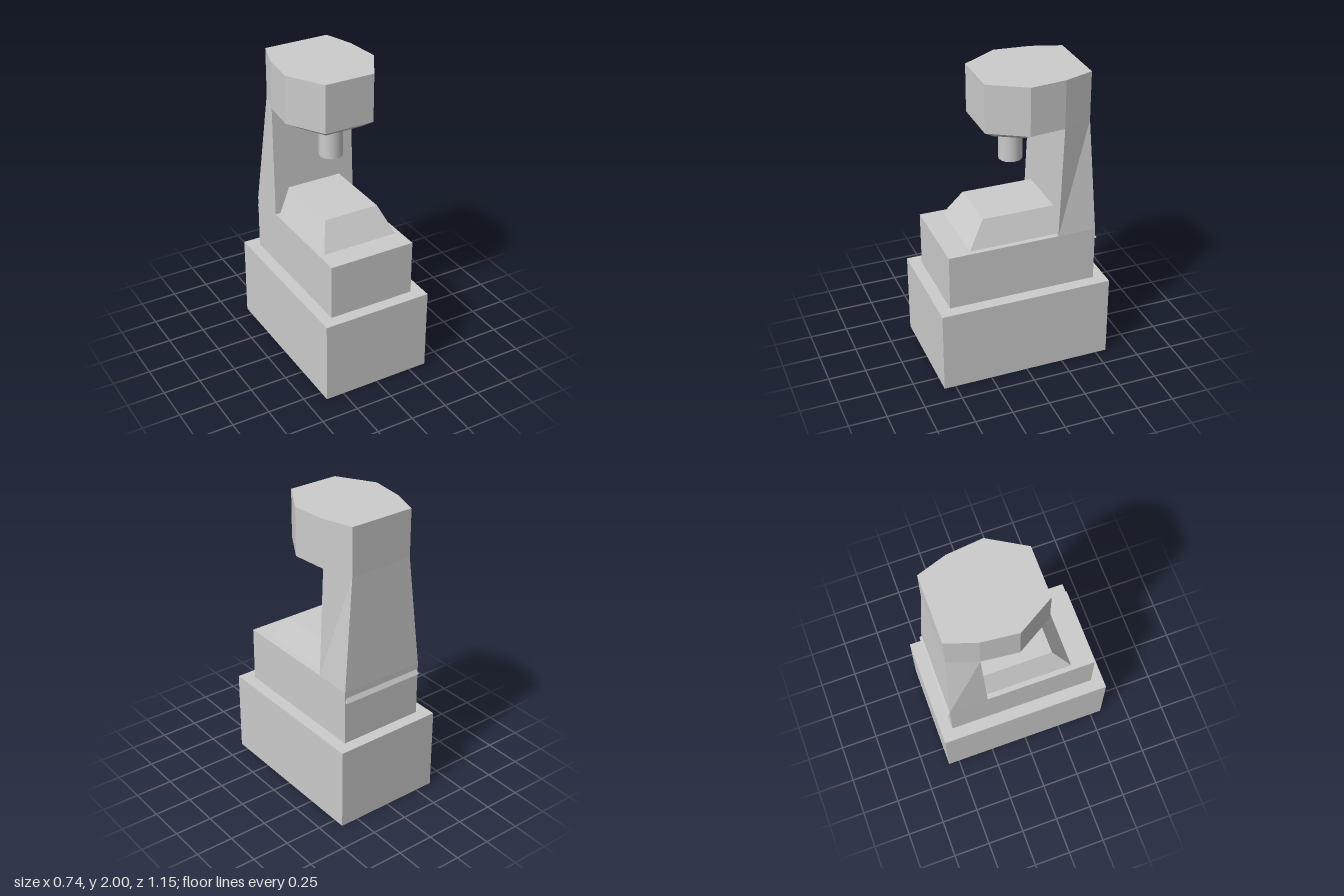
import * as THREE from 'three';

const material = new THREE.MeshStandardMaterial({ color: 0xcccccc, flatShading: true });

// Solid through stacked rings, each { y, half }: half lists [x, z] on the +x side from front to back, mirrored to -x.
function loft(name, levels) {
  const rings = levels.map(({ y, half }) => [
    ...half.map(([x, z]) => [x, y, z]),
    ...half.slice().reverse().map(([x, z]) => [-x, y, z]),
  ]);
  const n = rings[0].length;
  const pos = [];
  const tri = (a, b, c) => pos.push(...a, ...b, ...c);
  for (let r = 0; r < rings.length - 1; r++) {
    const lo = rings[r], hi = rings[r + 1];
    for (let i = 0; i < n; i++) {
      const j = (i + 1) % n;
      tri(lo[i], lo[j], hi[j]);
      tri(lo[i], hi[j], hi[i]);
    }
  }
  const bottom = rings[0], top = rings[rings.length - 1];
  for (let i = 1; i < n - 1; i++) {
    tri(bottom[0], bottom[i + 1], bottom[i]);
    tri(top[0], top[i], top[i + 1]);
  }
  const geometry = new THREE.BufferGeometry();
  geometry.setAttribute('position', new THREE.Float32BufferAttribute(pos, 3));
  geometry.computeVertexNormals();
  const mesh = new THREE.Mesh(geometry, material);
  mesh.name = name;
  return mesh;
}

function box(name, width, depth, y0, y1) {
  const mesh = new THREE.Mesh(new THREE.BoxGeometry(width, y1 - y0, depth), material);
  mesh.position.y = (y0 + y1) / 2;
  mesh.name = name;
  return mesh;
}

export function createModel() {
  const group = new THREE.Group();
  group.name = 'millingMachine';

  // Stepped base
  group.add(box('base', 0.744, 1.15, 0, 0.56));
  group.add(box('body', 0.584, 0.992, 0.56, 0.93));

  // Work table with sloping front and sides, running back into the column
  group.add(loft('table', [
    { y: 0.93, half: [[0.258, 0.345], [0.258, -0.3]] },
    { y: 1.1, half: [[0.188, 0.233], [0.188, -0.3]] },
  ]));

  // Column, narrowing towards the back of the head
  group.add(loft('column', [
    { y: 0.93, half: [[0.292, -0.24], [0.292, -0.496]] },
    { y: 1.68, half: [[0.285, -0.27], [0.22, -0.465]] },
  ]));

  // Small drip lip across the back
  group.add(loft('backLip', [
    { y: 0.858, half: [[0.29, -0.48], [0.29, -0.513]] },
    { y: 0.888, half: [[0.28, -0.48], [0.28, -0.496]] },
  ]));

  // Faceted head and its chamfered underside
  const front = [[0.168, 0.205], [0.31, -0.033], [0.285, -0.27]];
  const outline = [...front, [0.22, -0.465]];
  group.add(loft('head', [{ y: 1.68, half: outline }, { y: 2, half: outline }]));
  group.add(loft('headUnderside', [
    { y: 1.63, half: [[0.125, 0.135], [0.22, -0.033], [0.205, -0.2]] },
    { y: 1.68, half: front },
  ]));

  // Spindle
  const smooth = new THREE.MeshStandardMaterial({ color: 0xcccccc });
  const spindle = new THREE.Mesh(new THREE.CylinderGeometry(0.077, 0.077, 0.24, 16), smooth);
  spindle.position.set(0, 1.52, -0.025);
  spindle.name = 'spindle';
  group.add(spindle);

  return group;
}
